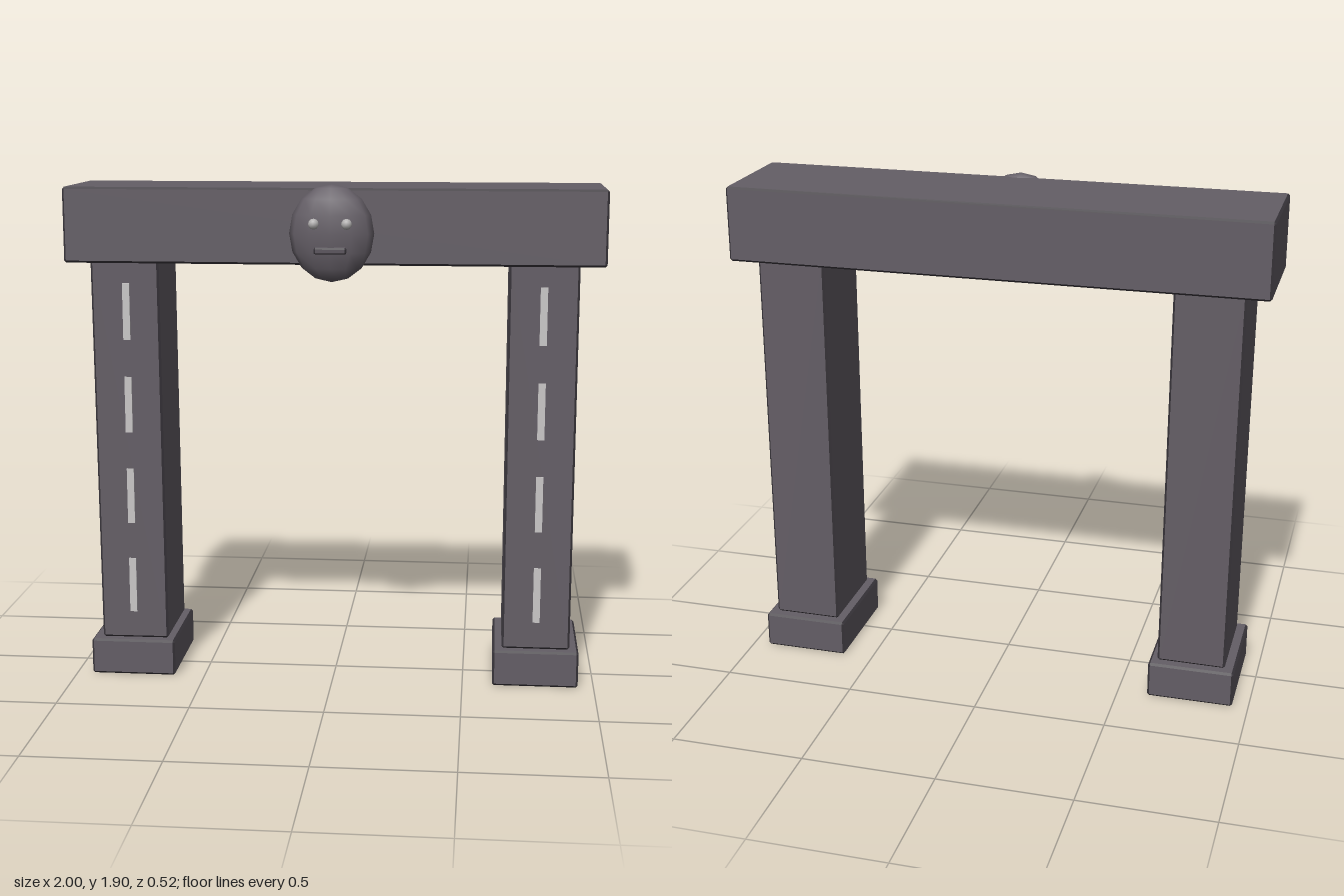
import * as THREE from 'three';
import { ConvexGeometry } from 'three/addons/geometries/ConvexGeometry.js';

const material = (name, color) => {
  const m = new THREE.MeshStandardMaterial({ color });
  m.name = name;
  return m;
};

export function createModel() {
  const model = new THREE.Group();
  const stone = material('stone', 0x645e66);
  const edge = material('dark edge', 0x3c383e);
  const pale = material('pale inlay', 0xcac8c8);
  const eyeGrey = material('eye grey', 0xb4b2b2);

  const add = (parent, name, geometry, mat, x, y, z) => {
    const mesh = new THREE.Mesh(geometry, mat);
    mesh.name = name;
    mesh.position.set(x, y, z);
    parent.add(mesh);
    return mesh;
  };

  // Box with narrow chamfers; the chamfers take the dark edge colour
  const chamferedBox = (w, h, d, c = 0.008) => {
    const points = [];
    const half = [w / 2, h / 2, d / 2];
    for (const sx of [-1, 1]) for (const sy of [-1, 1]) for (const sz of [-1, 1]) {
      for (let axis = 0; axis < 3; axis++) {
        const p = [sx, sy, sz].map((s, i) => s * (half[i] - (i === axis ? 0 : c)));
        points.push(new THREE.Vector3(...p));
      }
    }
    const geometry = new ConvexGeometry(points);
    const n = geometry.attributes.normal;
    for (let i = 0; i < n.count; i += 3) {
      const flat = Math.max(Math.abs(n.getX(i)), Math.abs(n.getY(i)), Math.abs(n.getZ(i))) > 0.99;
      geometry.addGroup(i, 3, flat ? 0 : 1);
    }
    return geometry;
  };
  const block = [stone, edge];

  // Lintel across the top
  add(model, 'lintel', chamferedBox(2, 0.28, 0.436), block, 0, 1.745, -0.044);

  // Two legs, each a foot, a pillar and four pale strips
  for (const [side, name] of [[-1, 'rightLeg'], [1, 'leftLeg']]) {
    const leg = new THREE.Group();
    leg.name = name;
    leg.position.x = side * 0.777;
    model.add(leg);
    add(leg, 'foot', chamferedBox(0.326, 0.14, 0.416), block, 0, 0.07, -0.042);
    const pillar = add(leg, 'pillar', chamferedBox(0.258, 1.476, 0.35), block, 0, 0.878, -0.041);
    if (side < 0) pillar.rotation.z = 0.006;
    for (let i = 0; i < 4; i++) {
      add(leg, 'strip', new THREE.BoxGeometry(0.027, 0.214, 0.008), pale, 0, 0.355 + i * 0.355, 0.136);
    }
  }

  // Flattened face on the middle of the lintel
  const face = new THREE.Group();
  face.name = 'face';
  face.position.set(0, 1.722, 0.18);
  model.add(face);
  const head = new THREE.SphereGeometry(1, 12, 8);
  head.scale(0.156, 0.178, 0.069);
  add(face, 'head', head, stone, 0, 0, 0);
  for (const side of [-1, 1]) {
    add(face, 'eye', new THREE.IcosahedronGeometry(0.02, 1), eyeGrey, side * 0.06, 0.038, 0.062);
  }
  // Mouth bar framed by its dark chamfers
  const mouth = add(face, 'mouth', chamferedBox(0.118, 0.024, 0.022, 0.005), block, 0, -0.058, 0.062);
  mouth.rotation.x = 0.15;

  return model;
}
